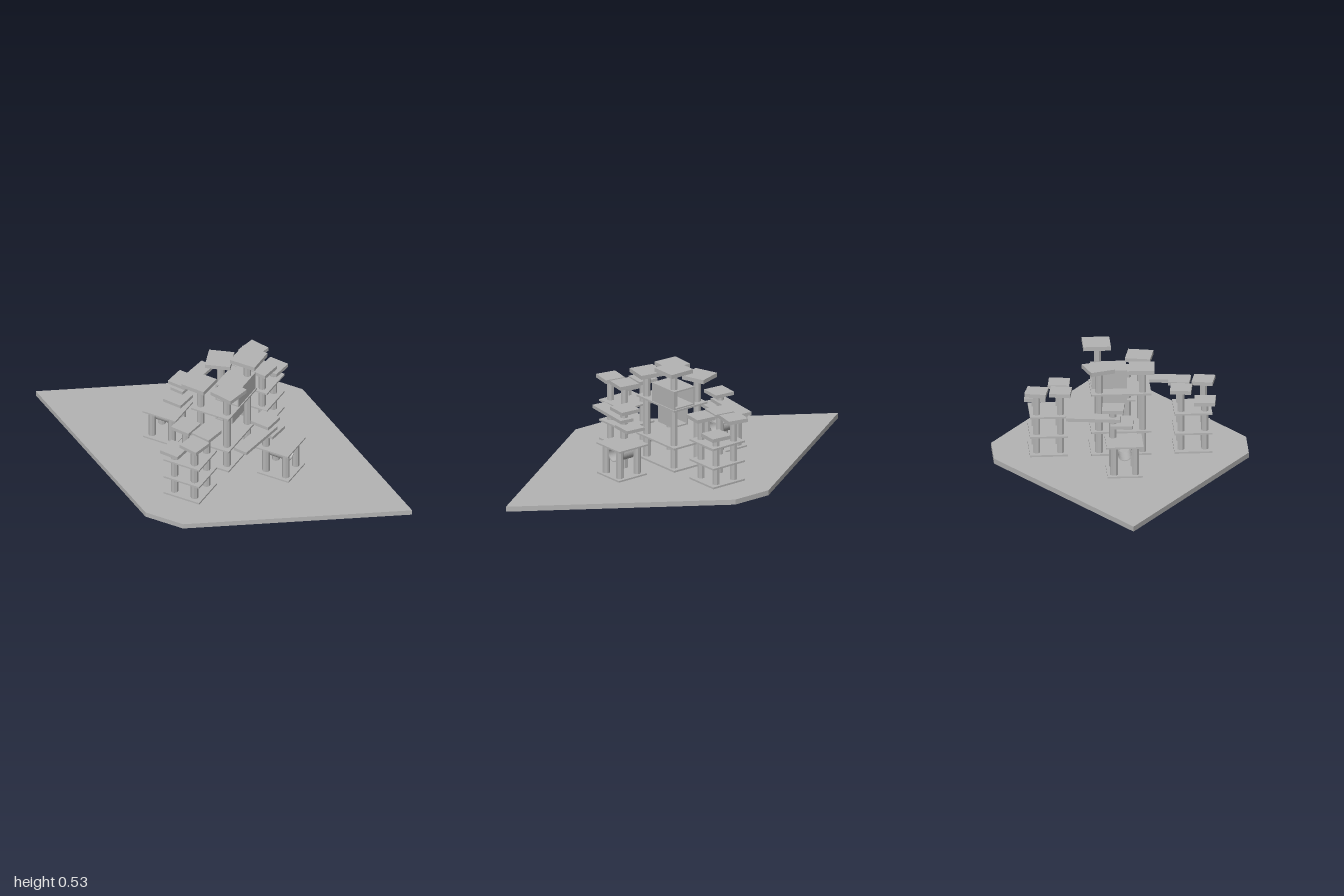
import * as THREE from 'three';

export function createModel() {
  const grey = new THREE.MeshStandardMaterial({ color: 0xb4b4b4 });
  grey.name = 'plain grey';
  const model = new THREE.Group();
  model.name = 'platformVillage';

  const add = (parent, name, geometry, x, y, z, ry = 0) => {
    const mesh = new THREE.Mesh(geometry, grey);
    mesh.name = name;
    mesh.position.set(x, y, z);
    mesh.rotation.y = ry;
    parent.add(mesh);
    return mesh;
  };
  // Box given by its bottom and top heights
  const slab = (parent, name, x, z, w, d, y0, y1, ry = 0) =>
    add(parent, name, new THREE.BoxGeometry(w, y1 - y0, d), x, (y0 + y1) / 2, z, ry);
  // Eight-sided post with faces square to the axes
  const post = (parent, name, x, z, top) => {
    const h = top - 0.025;
    const g = new THREE.CylinderGeometry(0.018, 0.018, h, 8).rotateY(Math.PI / 8).toNonIndexed();
    g.computeVertexNormals();
    return add(parent, name, g, x, 0.025 + h / 2, z);
  };
  const outline = (points) => new THREE.Shape(points.map(([x, y]) => new THREE.Vector2(x, y)));

  // Ground plate
  const plate = new THREE.ExtrudeGeometry(
    outline([[-1, 0], [-0.1, -0.6], [0.1, -0.6], [1, 0], [0.1, 0.6], [-0.1, 0.6]]),
    { depth: 0.025, bevelEnabled: false });
  plate.rotateX(-Math.PI / 2);
  add(model, 'groundPlate', plate, 0, 0, 0);

  // Small tower at one end: three floors, four posts with turned roofs
  const endTower = () => {
    const g = new THREE.Group();
    g.name = 'endTower';
    for (const y of [0.025, 0.118, 0.217]) slab(g, 'floor', 0, 0.34, 0.19, 0.178, y, y + 0.009);
    const roofs = [[-0.053, 0.396, 0.264, -0.1], [0.053, 0.396, 0.327, -0.2],
      [-0.053, 0.284, 0.327, -0.12], [0.058, 0.284, 0.327, -0.16]];
    for (const [x, z, y, ry] of roofs) {
      post(g, 'post', x, z, y);
      slab(g, 'roof', x, z, 0.1, 0.1, y, y + 0.018, ry);
    }
    return g;
  };

  // Side house: four posts, thin roof, crawl tube, platforms and a bridge plank
  const sideHouse = () => {
    const g = new THREE.Group();
    g.name = 'sideHouse';
    slab(g, 'floor', 0.302, 0, 0.168, 0.165, 0.025, 0.033);
    slab(g, 'thinRoof', 0.299, 0, 0.174, 0.174, 0.172, 0.18);
    for (const x of [0.25, 0.355])
      for (const z of [-0.05, 0.05])
        post(g, 'post', x, z, x === 0.25 && z > 0 ? 0.314 : 0.174);
    const ring = new THREE.Shape();
    ring.absarc(0, 0, 0.037, 0, Math.PI * 2);
    const hole = new THREE.Path();
    hole.absarc(0, 0, 0.032, 0, Math.PI * 2, true);
    ring.holes.push(hole);
    const tube = new THREE.ExtrudeGeometry(ring, { depth: 0.1, bevelEnabled: false, curveSegments: 20 });
    tube.rotateY(Math.PI / 2);
    add(g, 'crawlTube', tube, 0.255, 0.135, 0);
    slab(g, 'lowPlatform', 0.248, 0.007, 0.1, 0.105, 0.235, 0.251, -0.1);
    slab(g, 'bridgePlank', 0.244, 0.14, 0.07, 0.255, 0.268, 0.284, -0.13);
    slab(g, 'topPlatform', 0.245, 0.048, 0.1, 0.102, 0.313, 0.33, -0.1);
    return g;
  };

  for (const build of [endTower, sideHouse])
    for (const turn of [0, Math.PI]) {
      const g = build();
      g.rotation.y = turn;
      model.add(g);
    }

  // Central tower
  const tower = new THREE.Group();
  tower.name = 'centralTower';
  model.add(tower);
  for (const y of [0.025, 0.137, 0.326]) slab(tower, 'floor', 0, 0, 0.2, 0.283, y, y + 0.009);
  const roofs = [[-0.08, -0.107, 0.448, 0.32, 0.12], [0.075, -0.107, 0.513, 0, 0.13],
    [-0.08, 0.097, 0.446, -0.06, 0.12], [0.075, 0.095, 0.446, -0.2, 0.12]];
  for (const [x, z, y, ry, size] of roofs) {
    post(tower, 'post', Math.sign(x) * 0.07, Math.sign(z) * 0.102, y);
    slab(tower, 'roof', x, z, size, size, y, y + 0.02, ry);
  }

  // Square tunnels open at front and back
  const tunnel = (name, x0, x1, y0, y1, z0, z1) => {
    const t = 0.007;
    const s = outline([[x0, y0], [x1, y0], [x1, y1], [x0, y1]]);
    s.holes.push(outline([[x0 + t, y0 + t], [x0 + t, y1 - t], [x1 - t, y1 - t], [x1 - t, y0 + t]]));
    add(tower, name, new THREE.ExtrudeGeometry(s, { depth: z1 - z0, bevelEnabled: false }), 0, 0, z0);
  };
  tunnel('upperTunnel', -0.028, 0.095, 0.335, 0.427, -0.135, 0.032);
  tunnel('lowerTunnel', -0.028, 0.06, 0.222, 0.322, -0.085, 0.03);

  return model;
}
